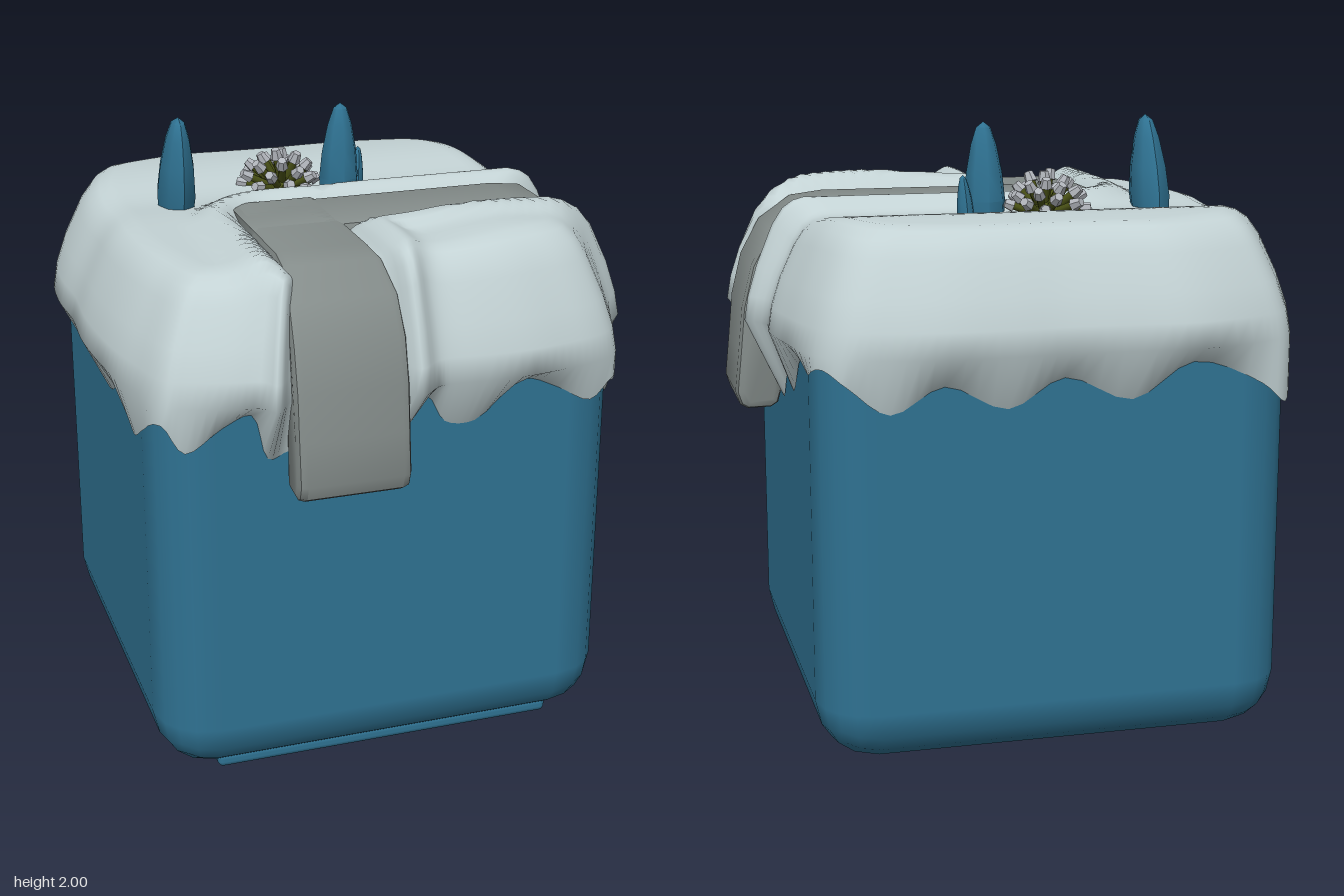
import * as THREE from 'three';
import { toCreasedNormals } from 'three/addons/utils/BufferGeometryUtils.js';
import { RoundedBoxGeometry } from 'three/addons/geometries/RoundedBoxGeometry.js';

const makeMat = (name, color, side = THREE.FrontSide) => {
  const m = new THREE.MeshStandardMaterial({ color, side });
  m.name = name;
  return m;
};

// Snow rim: x, z of the widest outline and height of the ragged lower edge
const RIM = [
  0.82, -0.3, 1.14, 0.81, -0.16, 1.17, 0.87, -0.06, 1.07, 0.79, 0.03, 1.1, 0.78, 0.3, 1.12,
  0.88, 0.39, 1.15, 0.81, 0.5, 1.19, 0.75, 0.64, 1.2, 0.7, 0.75, 1.26, 0.62, 0.8, 1.19,
  0.5, 0.83, 1.25, 0.38, 0.85, 1.29, 0.22, 0.85, 1.17, 0.12, 0.84, 1.18, 0.06, 0.85, 1.27,
  -0.01, 0.9, 1.17, -0.08, 0.8, 1.15, -0.38, 0.8, 1.15, -0.46, 0.9, 1.13, -0.51, 0.85, 1.28,
  -0.6, 0.83, 1.25, -0.72, 0.79, 1.18, -0.79, 0.75, 1.28, -0.84, 0.58, 1.2, -0.87, 0.45, 1.14,
  -0.89, 0.3, 1.24, -0.9, 0.1, 1.16, -0.89, -0.1, 1.26, -0.9, -0.3, 1.17, -0.88, -0.5, 1.27,
  -0.82, -0.68, 1.2, -0.77, -0.78, 1.13, -0.68, -0.83, 1.2, -0.45, -0.9, 1.28, -0.25, -0.89, 1.17,
  -0.03, -0.88, 1.25, 0.15, -0.89, 1.16, 0.35, -0.89, 1.24, 0.52, -0.86, 1.16, 0.65, -0.82, 1.25,
  0.72, -0.75, 1.3, 0.77, -0.62, 1.26, 0.8, -0.47, 1.28,
];

// Height offset of the snow: pressed down under the strap, lips beside it, soft mounds
function snowOffset(x, z) {
  const dFront = Math.hypot(x + 0.215, Math.min(z - 0.17, 0));
  const dSide = Math.hypot(z - 0.17, Math.min(x + 0.215, 0));
  const d = Math.min(dFront, dSide);
  const bump = (v, c, w) => Math.exp(-(((v - c) / w) ** 2));
  return -0.05 * (1 - THREE.MathUtils.smoothstep(d, 0.1, 0.19))
    + 0.045 * bump(d, 0.23, 0.06)
    + 0.05 * bump(x, 0.4, 0.32) * bump(z, 0.55, 0.22)
    + 0.02 * bump(z, -0.52, 0.22) - 0.015 * bump(z, -0.2, 0.15);
}

function snowGeometry() {
  const pts = [];
  for (let i = 0; i < RIM.length; i += 3) pts.push(new THREE.Vector3(RIM[i], RIM[i + 2], RIM[i + 1]));
  const n = pts.length * 4;
  const curve = new THREE.CatmullRomCurve3(pts, true, 'centripetal');
  // [scale of outline, height]; the first ring hugs the block walls
  const rings = [[1, 0], [1, 1.34], [0.985, 1.42], [0.95, 1.51], [0.89, 1.62], [0.85, 1.67], [0.81, 1.695]];
  for (let i = 1; i <= 20; i++) rings.push([0.81 * (1 - i / 20), 1.705]);
  const cx = -0.03, cz = -0.02, pos = [], idx = [];
  rings.forEach(([s, h], r) => {
    for (let j = 0; j < n; j++) {
      const p = curve.getPoint(j / n);
      if (r === 0) {
        pos.push(THREE.MathUtils.clamp(p.x, -0.813, 0.743), p.y, THREE.MathUtils.clamp(p.z, -0.803, 0.753));
      } else {
        const x = cx + (p.x - cx) * s, z = cz + (p.z - cz) * s;
        pos.push(x, h + snowOffset(x, z) * THREE.MathUtils.smoothstep(h, 1.4, 1.68), z);
      }
      if (r > 0) {
        const k = (j + 1) % n, a = (r - 1) * n;
        idx.push(a + j, a + n + j, a + k, a + k, a + n + j, a + n + k);
      }
    }
  });
  const g = new THREE.BufferGeometry();
  g.setAttribute('position', new THREE.Float32BufferAttribute(pos, 3));
  g.setIndex(idx);
  g.computeVertexNormals();
  return g;
}

// Strap half: side profile (outward, up) extruded across its width, wider where it hangs
function strapGeometry(start) {
  const b = 0.025;
  const outer = [[0.55, 1.725], [0.66, 1.71], [0.77, 1.63], [0.835, 1.51], [0.87, 1.37], [0.885, 1.22],
    [0.9, 1.08], [0.885, 1.035], [0.86, 1.02], [0.78, 1.02], [0.755, 1.035], [0.742, 1.08], [0.742, 1.35],
    [0.7, 1.5], [0.55, 1.58]];
  const shape = new THREE.Shape();
  shape.moveTo(start, 1.58);
  shape.lineTo(start, 1.725);
  outer.forEach(([a, y]) => shape.lineTo(a, y));
  const g = new THREE.ExtrudeGeometry(shape, {
    depth: 0.31 - 2 * b, bevelEnabled: true, bevelThickness: b, bevelSize: b, bevelOffset: -b, bevelSegments: 2,
  });
  g.translate(0, 0, b - 0.155);
  const p = g.attributes.position;
  for (let i = 0; i < p.count; i++) {
    const f = THREE.MathUtils.smoothstep(p.getX(i), 0.55, 0.85);
    p.setZ(i, p.getZ(i) * (1 + 0.19 * f));
  }
  return toCreasedNormals(g, 0.7);
}

// Thorn: turned profile, flattened and leaning towards its tip
function thornGeometry(height, rx, rz, leanX, leanZ) {
  const prof = [[0.85, 0], [1, 0.3], [0.88, 0.55], [0.62, 0.8], [0.35, 0.95], [0, 1]];
  const g = new THREE.LatheGeometry(prof.map(([r, y]) => new THREE.Vector2(r, y)), 8);
  const p = g.attributes.position;
  for (let i = 0; i < p.count; i++) {
    const y = p.getY(i);
    p.setXYZ(i, p.getX(i) * rx + leanX * y, y * height, p.getZ(i) * rz + leanZ * y);
  }
  return toCreasedNormals(g, 0.8);
}

export function createModel() {
  const blue = makeMat('blue', 0x2f7292);
  const snow = makeMat('snow', 0xc3d2d4, THREE.DoubleSide);
  const grey = makeMat('strapGrey', 0x848c8a);
  const olive = makeMat('olive', 0x4a5216);
  const tipGrey = makeMat('tipGrey', 0xb2b6bc);
  const model = new THREE.Group();
  const add = (name, geo, mat, parent = model) => {
    const m = new THREE.Mesh(geo, mat);
    m.name = name;
    parent.add(m);
    return m;
  };

  // Block with a small ledge along the front bottom edge
  add('block', new RoundedBoxGeometry(1.55, 1.6, 1.55, 2, 0.19), blue).position.set(-0.035, 0.8, -0.025);
  add('bottomLedge', new RoundedBoxGeometry(1.17, 0.05, 0.14, 2, 0.02), blue).position.set(-0.035, 0.025, 0.605);

  // Snow cap
  add('snowCap', snowGeometry(), snow);

  // L-shaped strap: one half over the front, one over the left side
  const front = add('frontStrap', strapGeometry(0.015), grey);
  front.rotation.y = -Math.PI / 2;
  front.position.x = -0.22;
  add('sideStrap', strapGeometry(-0.375), grey).position.z = 0.17;

  // Thorns on top
  const thorn = (name, x, z, ...shape) => add(name, thornGeometry(...shape), blue).position.set(x, 1.62, z);
  thorn('rightThorn', -0.51, -0.17, 0.38, 0.065, 0.115, 0.005, 0.06);
  thorn('leftThorn', 0.075, -0.19, 0.37, 0.07, 0.07, 0.005, 0.01);
  thorn('smallThorn', 0.145, -0.225, 0.2, 0.03, 0.035, 0.015, 0);

  // Tuft of stalks with pale tips
  const tuft = new THREE.Group();
  tuft.name = 'tuft';
  tuft.position.set(-0.11, 1.68, -0.25);
  model.add(tuft);
  add('tuftCore', new THREE.IcosahedronGeometry(0.06, 1), olive, tuft);
  const stalkGeo = new THREE.CylinderGeometry(0.014, 0.012, 0.13, 6).translate(0, 0.065, 0).toNonIndexed();
  const tipGeo = toCreasedNormals(new THREE.CylinderGeometry(0.015, 0.022, 0.035, 6).translate(0, 0.14, 0), 0.4);
  const up = new THREE.Vector3(0, 1, 0);
  const count = 26;
  for (let i = 0; i < count; i++) {
    const y = 1 - (i / (count - 1)) * 0.8, r = Math.sqrt(1 - y * y), a = i * 2.39996;
    const dir = new THREE.Vector3(Math.cos(a) * r, y, Math.sin(a) * r);
    const stalk = new THREE.Group();
    stalk.name = 'stalk';
    stalk.quaternion.setFromUnitVectors(up, dir);
    stalk.scale.y = 0.95 + 0.08 * Math.sin(i * 2.3);
    add('stem', stalkGeo, olive, stalk);
    add('tip', tipGeo, tipGrey, stalk);
    tuft.add(stalk);
  }
  return model;
}
